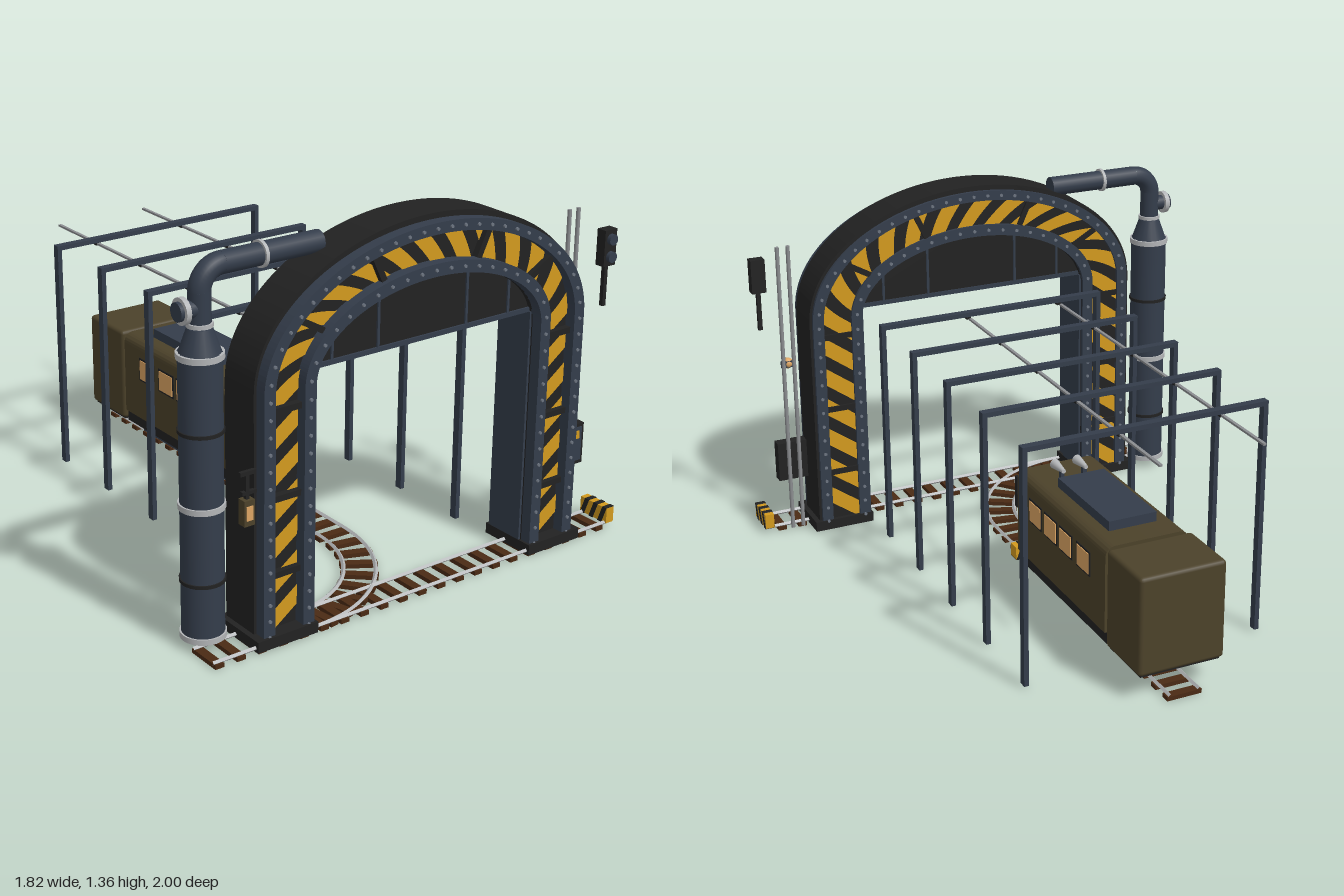
import * as THREE from 'three';
import { mergeGeometries, toCreasedNormals } from 'three/addons/utils/BufferGeometryUtils.js';
import { RoundedBoxGeometry } from 'three/addons/geometries/RoundedBoxGeometry.js';

const mat = (name, color) => Object.assign(new THREE.MeshStandardMaterial({ color }), { name });
const black = mat('black', 0x222222), slate = mat('slate', 0x343d4b), yellow = mat('hazardYellow', 0xd39a1e);
const silver = mat('silver', 0xb4b6b8), steel = mat('steel', 0x8b8d90), glow = mat('warmGlass', 0xdda563);
const olive = mat('olive', 0x4c422a), wood = mat('wood', 0x4a2a14), rivetGrey = mat('rivetGrey', 0x6c7480);

function add(parent, name, geo, material, x = 0, y = 0, z = 0) {
  const m = new THREE.Mesh(geo, material);
  m.name = name;
  m.position.set(x, y, z);
  parent.add(m);
  return m;
}
function group(parent, name) {
  const g = new THREE.Group();
  g.name = name;
  parent.add(g);
  return g;
}
// box given by its minimum and maximum corners
const box = (p, name, m, x0, x1, y0, y1, z0, z1) =>
  add(p, name, new THREE.BoxGeometry(x1 - x0, y1 - y0, z1 - z0), m, (x0 + x1) / 2, (y0 + y1) / 2, (z0 + z1) / 2);
function cyl(p, name, m, r, h, x, y, z, axis = 'y', r2 = r, seg = 20) {
  const g = new THREE.CylinderGeometry(r2, r, h, seg);
  if (axis === 'x') g.rotateZ(-Math.PI / 2);
  if (axis === 'z') g.rotateX(Math.PI / 2);
  return add(p, name, g, m, x, y, z);
}
const extrude = (shape, z0, z1) =>
  new THREE.ExtrudeGeometry(shape, { depth: z1 - z0, bevelEnabled: false, curveSegments: 40 }).translate(0, 0, z0);

// yellow bar along x with black slanted bands wrapped round it
function hazardBar(parent, name, len, h, d, count) {
  const g = group(parent, name);
  add(g, 'bar', new THREE.BoxGeometry(len, h, d), yellow);
  const pitch = len / count, w = pitch * 0.45, k = pitch * 0.25, t = h / 2 + 0.002;
  for (let i = 0; i < count; i++) {
    const x = -len / 2 + (i + 0.5) * pitch;
    const s = new THREE.Shape([[x - w / 2 - k, t], [x - w / 2 + k, -t], [x + w / 2 + k, -t], [x + w / 2 - k, t]]
      .map(([a, b]) => new THREE.Vector2(a, b)));
    add(g, 'band', extrude(s, -d / 2 - 0.002, d / 2 + 0.002), black);
  }
  return g;
}

// ---- portal arch: straight legs below the spring line, half ellipse above
const SPRING = 0.9, FOOT = 0.03;
function archShape(ao, topO, ai, topI) {
  const s = new THREE.Shape();
  s.moveTo(-ao, FOOT).lineTo(-ao, SPRING);
  s.absellipse(0, SPRING, ao, topO - SPRING, Math.PI, 0, true);
  s.lineTo(ao, FOOT).lineTo(ai, FOOT).lineTo(ai, SPRING);
  s.absellipse(0, SPRING, ai, topI - SPRING, 0, Math.PI, false);
  s.lineTo(-ai, FOOT);
  return s;
}
function archPoint(t, a, top) {
  if (t < 0.3) return new THREE.Vector3(-a, 0.05 + (SPRING - 0.05) * t / 0.3, 0);
  if (t > 0.7) return new THREE.Vector3(a, 0.05 + (SPRING - 0.05) * (1 - t) / 0.3, 0);
  const q = Math.PI * (1 - (t - 0.3) / 0.4);
  return new THREE.Vector3(a * Math.cos(q), SPRING + (top - SPRING) * Math.sin(q), 0);
}
class ArchLine extends THREE.Curve {
  constructor(a, top) { super(); this.a = a; this.top = top; this.arcLengthDivisions = 400; }
  getPoint(t) { return archPoint(t, this.a, this.top); }
}
const midLine = new ArchLine(0.587, 1.26);
const bandPoint = (u, f) =>
  archPoint(midLine.getUtoTmapping(THREE.MathUtils.clamp(u, 0, 1)), 0.53 + 0.115 * f, 1.21 + 0.1 * f);

// one slanted patch of the band, from u0 to u1 along the arch
function bandPatch(u0, u1, skew, z, flip) {
  const N = 5, pos = [], idx = [];
  for (let i = 0; i <= N; i++) for (let j = 0; j <= N; j++) {
    const f = j / N, p = bandPoint(u0 + (u1 - u0) * i / N + skew * (0.5 - f), f);
    pos.push(p.x, p.y, z);
  }
  for (let i = 0; i < N; i++) for (let j = 0; j < N; j++) {
    const a = i * (N + 1) + j, b = a + 1, c = a + N + 1, d = c + 1;
    if (flip) idx.push(a, b, c, b, d, c); else idx.push(a, c, b, b, c, d);
  }
  const g = new THREE.BufferGeometry();
  g.setAttribute('position', new THREE.Float32BufferAttribute(pos, 3));
  g.setIndex(idx);
  g.computeVertexNormals();
  return g;
}

function buildArch(root) {
  const g = group(root, 'portalArch');
  add(g, 'archBody', extrude(archShape(0.7, 1.37, 0.485, 1.165), 0.785, 0.945), black);
  const stripeMat = yellow.clone();
  stripeMat.side = THREE.DoubleSide;
  const rivet = new THREE.CylinderGeometry(0.006, 0.007, 0.008, 6).rotateX(Math.PI / 2);
  for (const [face, z0, z1, zs] of [['front', 0.94, 0.988, 0.95], ['back', 0.772, 0.79, 0.782]]) {
    add(g, face + 'OuterRim', extrude(archShape(0.69, 1.35, 0.645, 1.31), z0, z1), slate);
    add(g, face + 'InnerRim', extrude(archShape(0.53, 1.21, 0.485, 1.165), z0, z1), slate);
    // hazard stripes
    const stripes = [], n = 25;
    for (let i = 0; i < n; i++) stripes.push(bandPatch((i + 0.2) / n, (i + 0.76) / n, 0.026, zs, face === 'back'));
    add(g, face + 'Stripes', mergeGeometries(stripes), stripeMat);
    // rivets along both rims
    const rivets = [];
    for (const [a, top, count] of [[0.667, 1.33, 58], [0.508, 1.188, 48]])
      for (const p of new ArchLine(a, top).getSpacedPoints(count))
        rivets.push(rivet.clone().translate(p.x, p.y, face === 'front' ? z1 + 0.002 : z0 - 0.002));
    add(g, face + 'Rivets', mergeGeometries(rivets), rivetGrey);
    // cross ribs over the band
    for (const u of [0.065, 0.15, 0.245, 0.335, 0.43, 0.57, 0.665, 0.755, 0.85, 0.935]) {
      const a = bandPoint(u, 0), b = bandPoint(u, 1), c = a.clone().add(b).multiplyScalar(0.5);
      const rib = add(g, 'crossRib', new THREE.BoxGeometry(a.distanceTo(b), 0.022, 0.03), black,
        c.x, c.y, face === 'front' ? 0.955 : 0.79);
      rib.rotation.z = Math.atan2(b.y - a.y, b.x - a.x);
    }
  }
  // closed panel under the crown
  const s = new THREE.Shape();
  s.moveTo(-0.487, 0.935).lineTo(0.487, 0.935);
  s.absellipse(0, SPRING, 0.49, 0.27, 0.13, Math.PI - 0.13, false);
  add(g, 'crownPanel', extrude(s, 0.81, 0.925), black);
  box(g, 'crownPanelEdge', slate, -0.487, 0.487, 0.928, 0.945, 0.805, 0.932);
  for (const x of [-0.38, -0.19, 0.19, 0.38]) {
    const h = SPRING + 0.27 * Math.sqrt(1 - (x / 0.49) ** 2);
    box(g, 'crownRib', slate, x - 0.005, x + 0.005, 0.94, h, 0.805, 0.931);
  }
  for (const k of [-1, 1]) {
    add(g, 'legLining', new THREE.BoxGeometry(0.012, 0.9, 0.15), slate, k * 0.482, 0.48, 0.865);
    add(g, 'plinth', new THREE.BoxGeometry(0.245, 0.04, 0.23), black, k * 0.598, 0.033, 0.883);
  }
}

// ---- track: rails and sleepers on a path that takes a sideways offset
function buildTrack(root, name, path, length) {
  const g = group(root, name), mid = path(0);
  for (const d of [-0.057, 0.057]) {
    const rail = new THREE.TubeGeometry(path(d), 80, 0.008, 4).toNonIndexed();
    add(g, 'rail', toCreasedNormals(rail, 0.6), silver, 0, 0.027, 0);
  }
  const n = Math.round(length / 0.085);
  for (let i = 0; i < n; i++) {
    const u = (i + 0.25) / n, p = mid.getPointAt(u), t = mid.getTangentAt(u);
    const m = add(g, 'sleeper', new THREE.BoxGeometry(0.136, 0.016, 0.034), wood, p.x, 0.015, p.z);
    m.rotation.y = Math.atan2(t.x, t.z);
  }
}
const sidePath = d => new THREE.LineCurve3(new THREE.Vector3(-0.89, 0, 0.925 + d), new THREE.Vector3(0.9, 0, 0.925 + d));
function mainPath(d) {
  const pts = [], r = 0.47;
  for (let i = 0; i <= 16; i++) pts.push(new THREE.Vector3(d, 0, -1 + 1.455 * i / 16));
  for (let i = 1; i <= 14; i++) {
    const q = i / 14 * Math.PI / 2;
    pts.push(new THREE.Vector3(-r + (r + d) * Math.cos(q), 0, 0.455 + (r + d) * Math.sin(q)));
  }
  return new THREE.CatmullRomCurve3(pts);
}

// ---- rail car with a trailing wagon
function buildTrain(root) {
  const g = group(root, 'railCar');
  const s = new THREE.Shape(), w = 0.165, r = 0.04;
  s.moveTo(-w, 0.155).lineTo(w, 0.155).lineTo(w, 0.485 - r).quadraticCurveTo(w, 0.485, w - r, 0.488);
  s.lineTo(-w + r, 0.488).quadraticCurveTo(-w, 0.485, -w, 0.485 - r);
  add(g, 'carBody', toCreasedNormals(extrude(s, -0.71, 0.015), 0.5), olive);
  box(g, 'skirt', black, -0.155, 0.155, 0.108, 0.158, -0.71, 0.01);
  box(g, 'underframe', slate, -0.12, 0.12, 0.072, 0.11, -0.65, -0.04);
  for (const z of [-0.12, -0.34, -0.56]) for (const x of [-0.065, 0.065])
    cyl(g, 'wheel', black, 0.045, 0.02, x, 0.08, z, 'x');
  box(g, 'roofUnit', slate, -0.095, 0.095, 0.485, 0.525, -0.6, -0.19);
  // windscreen
  box(g, 'windscreenFrame', black, -0.148, 0.148, 0.33, 0.445, 0.012, 0.02);
  for (const k of [-1, 1]) {
    box(g, 'windscreen', glow, k * 0.073 - 0.065, k * 0.073 + 0.065, 0.338, 0.436, 0.015, 0.023);
    cyl(g, 'headlampRim', black, 0.037, 0.02, k * 0.107, 0.226, 0.022, 'z');
    cyl(g, 'headlamp', silver, 0.031, 0.03, k * 0.107, 0.226, 0.024, 'z');
    cyl(g, 'buffer', silver, 0.016, 0.025, k * 0.128, 0.135, 0.08, 'z');
    box(g, 'handrail', black, k * 0.164 - 0.006, k * 0.164 + 0.006, 0.335, 0.46, 0.008, 0.028);
    cyl(g, 'horn', silver, 0.008, 0.08, k * 0.046, 0.52, -0.1, 'z', 0.019);
    box(g, 'hornFoot', slate, k * 0.046 - 0.008, k * 0.046 + 0.008, 0.48, 0.515, -0.13, -0.115);
    for (const z of [-0.147, -0.277, -0.402, -0.543]) {
      box(g, 'windowFrame', black, k * 0.165 - 0.003, k * 0.165 + 0.003, 0.322, 0.418, z - 0.054, z + 0.054);
      box(g, 'sideWindow', glow, k * 0.167 - 0.004, k * 0.167 + 0.004, 0.33, 0.41, z - 0.046, z + 0.046);
    }
  }
  cyl(g, 'topLamp', silver, 0.021, 0.025, 0, 0.456, 0.02, 'z');
  hazardBar(g, 'bumper', 0.345, 0.05, 0.05, 8).position.set(0, 0.135, 0.042);
  // wagon
  box(g, 'bellows', black, -0.13, 0.13, 0.15, 0.45, -0.735, -0.7);
  add(g, 'wagonBody', new RoundedBoxGeometry(0.335, 0.378, 0.25, 2, 0.015), olive, 0, 0.3, -0.848);
  box(g, 'wagonFloor', black, -0.155, 0.155, 0.104, 0.116, -0.96, -0.735);
}

// ---- tall tank with an elbow pipe into the arch
function buildTank(root) {
  const g = group(root, 'tank'), X = -0.82, Z = 0.825;
  cyl(g, 'tankBody', slate, 0.073, 1.0, X, 0.54, Z, 'y', 0.073, 28);
  for (const y of [0.05, 0.515, 1.03]) cyl(g, 'collar', silver, 0.079, 0.02, X, y, Z, 'y', 0.079, 28);
  for (const y of [0.25, 0.775]) cyl(g, 'ring', black, 0.078, 0.012, X, y, Z, 'y', 0.078, 28);
  cyl(g, 'tankNeck', slate, 0.07, 0.08, X, 1.08, Z, 'y', 0.042);
  cyl(g, 'riser', slate, 0.038, 0.14, X, 1.17, Z);
  add(g, 'elbow', new THREE.TorusGeometry(0.08, 0.038, 14, 12, Math.PI / 2).rotateZ(Math.PI / 2), slate, X + 0.08, 1.235, Z);
  cyl(g, 'crossPipe', slate, 0.038, 0.38, -0.55, 1.315, Z, 'x');
  cyl(g, 'neckCollar', silver, 0.044, 0.014, X, 1.13, Z);
  cyl(g, 'pipeCollar', silver, 0.046, 0.012, -0.59, 1.315, Z, 'x');
  cyl(g, 'valve', slate, 0.03, 0.06, -0.862, 1.185, Z, 'x');
  cyl(g, 'valveCap', silver, 0.045, 0.018, -0.885, 1.185, Z, 'x');
  cyl(g, 'valveHub', slate, 0.032, 0.014, -0.9, 1.185, Z, 'x');
}

// ---- small fittings beside the arch
function buildFittings(root) {
  const g = group(root, 'fittings');
  for (const x of [0.76, 0.803]) cyl(g, 'conduit', steel, 0.008, 1.19, x, 0.625, 0.82, 'y', 0.008, 10);
  box(g, 'controlBox', black, 0.725, 0.845, 0.24, 0.4, 0.828, 0.872);
  box(g, 'controlBoxLid', slate, 0.737, 0.833, 0.255, 0.388, 0.87, 0.876);
  box(g, 'controlLabel', yellow, 0.757, 0.818, 0.345, 0.375, 0.874, 0.88);
  box(g, 'lampBack', slate, 0.755, 0.81, 0.722, 0.748, 0.822, 0.836);
  add(g, 'lamp', new THREE.SphereGeometry(0.022, 12, 8), glow, 0.78, 0.735, 0.84);
  // signal
  box(g, 'signalPost', black, 0.854, 0.87, 0.865, 1.03, 0.9, 0.916);
  box(g, 'signalHead', black, 0.833, 0.89, 1.02, 1.155, 0.89, 0.93);
  for (const y of [1.055, 1.12]) cyl(g, 'signalLens', slate, 0.02, 0.02, 0.862, y, 0.935, 'z');
  // lantern on the other leg
  box(g, 'lanternArm', black, -0.757, -0.695, 0.638, 0.652, 0.94, 0.954);
  box(g, 'lanternHanger', black, -0.736, -0.724, 0.54, 0.645, 0.94, 0.954);
  box(g, 'lanternArm', black, -0.75, -0.695, 0.57, 0.582, 0.94, 0.954);
  box(g, 'lanternCase', olive, -0.75, -0.71, 0.465, 0.555, 0.93, 0.965);
  box(g, 'lanternGlass', glow, -0.743, -0.717, 0.485, 0.535, 0.927, 0.968);
  // buffer stop at the end of the side track
  const stop = hazardBar(g, 'bufferStop', 0.135, 0.06, 0.036, 3);
  stop.rotation.y = Math.PI / 2;
  stop.position.set(0.888, 0.056, 0.925);
}

export function createModel() {
  const root = new THREE.Group();
  root.name = 'railwayPortal';
  buildArch(root);
  buildTrack(root, 'sideTrack', sidePath, 1.79);
  buildTrack(root, 'mainTrack', mainPath, 2.19);
  buildTrain(root);
  buildTank(root);
  buildFittings(root);
  // gantries and overhead wires
  for (const z of [0.605, 0.283, -0.042, -0.364, -0.69]) {
    const g = group(root, 'gantry');
    for (const x of [-0.465, 0.465]) box(g, 'gantryPost', slate, x - 0.009, x + 0.009, 0.014, 0.92, z - 0.015, z + 0.015);
    box(g, 'gantryBeam', slate, -0.472, 0.472, 0.902, 0.92, z - 0.015, z + 0.015);
    for (const x of [-0.29, 0.105]) box(g, 'wireClamp', black, x - 0.009, x + 0.009, 0.89, 0.905, z - 0.01, z + 0.01);
  }
  for (const x of [-0.29, 0.105]) box(root, 'overheadWire', steel, x - 0.006, x + 0.006, 0.892, 0.9, -0.98, 0.58);
  return root;
}
